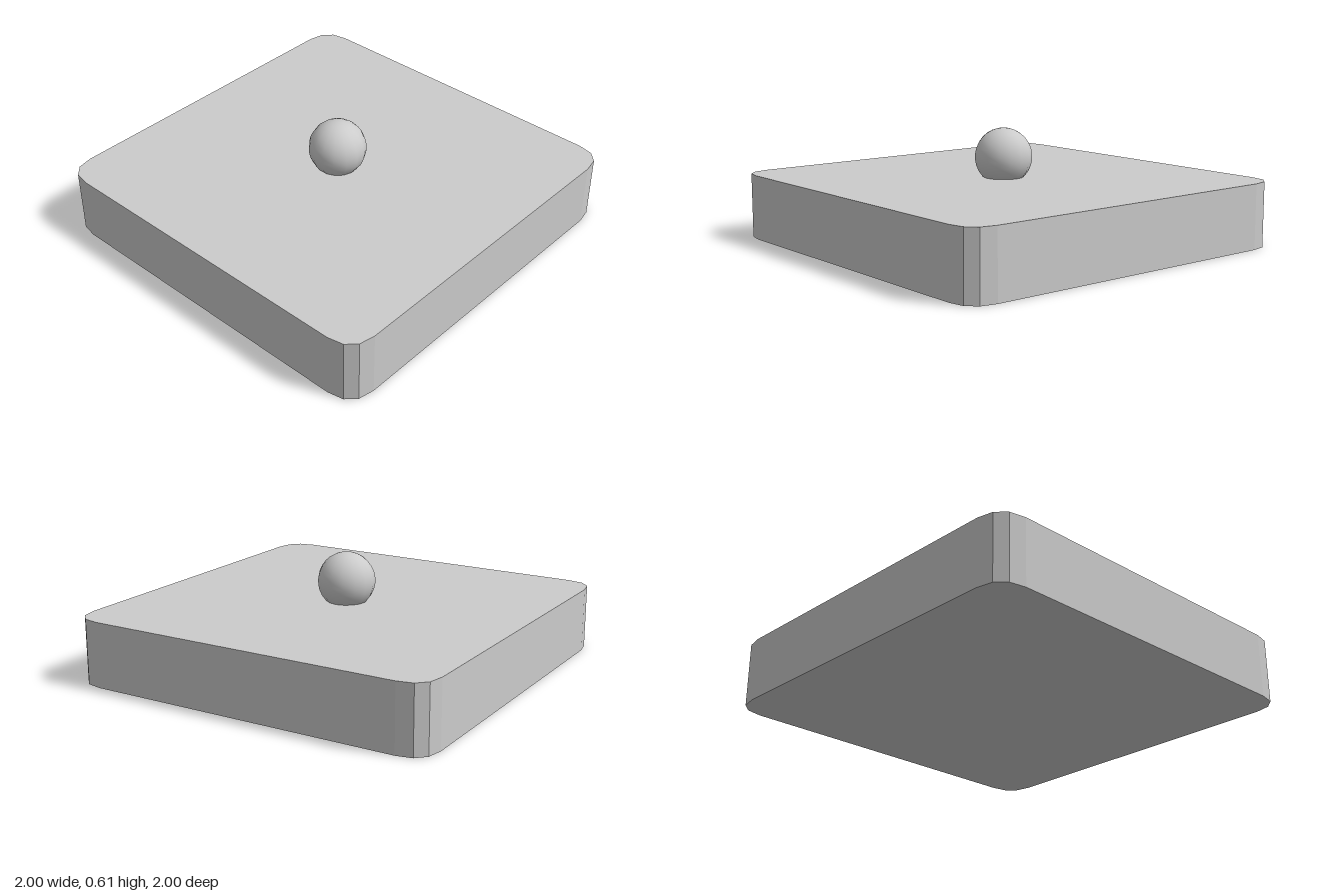
import * as THREE from 'three';

export function createModel() {
  const group = new THREE.Group();
  const grey = { color: 0xcccccc };

  // Square slab with rounded vertical corners, faceted sides
  const height = 0.345, corner = 0.15, inner = 1 - corner;
  const outline = new THREE.Shape();
  outline.moveTo(inner, -1);
  outline.quadraticCurveTo(1, -1, 1, -inner);
  outline.lineTo(1, inner);
  outline.quadraticCurveTo(1, 1, inner, 1);
  outline.lineTo(-inner, 1);
  outline.quadraticCurveTo(-1, 1, -1, inner);
  outline.lineTo(-1, -inner);
  outline.quadraticCurveTo(-1, -1, -inner, -1);
  outline.closePath();
  const slabGeometry = new THREE.ExtrudeGeometry(outline, {
    depth: height, bevelEnabled: false, curveSegments: 3,
  });
  slabGeometry.rotateX(-Math.PI / 2);
  const slab = new THREE.Mesh(
    slabGeometry,
    new THREE.MeshStandardMaterial({ ...grey, flatShading: true }),
  );
  slab.name = 'slab';
  group.add(slab);

  // Smooth ball partly sunk into the centre of the slab
  const ball = new THREE.Mesh(
    new THREE.SphereGeometry(0.152, 15, 15),
    new THREE.MeshStandardMaterial(grey),
  );
  ball.name = 'ball';
  ball.position.y = 0.453;
  ball.rotation.y = -Math.PI / 2;
  group.add(ball);

  return group;
}
